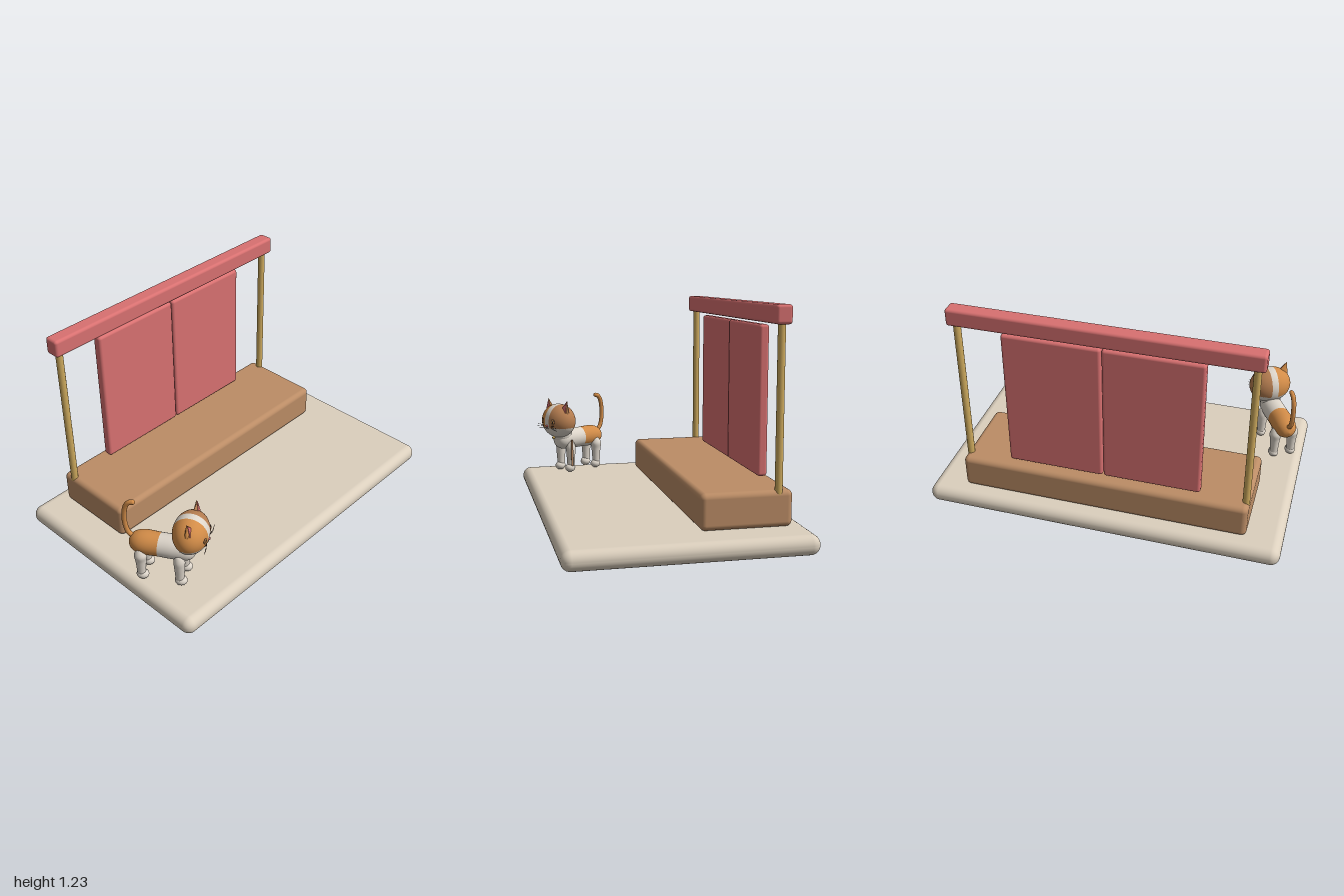
import * as THREE from 'three';
import { RoundedBoxGeometry } from 'three/addons/geometries/RoundedBoxGeometry.js';

const mat = (name, color, side = THREE.FrontSide) => {
  const m = new THREE.MeshStandardMaterial({ color, side });
  m.name = name;
  return m;
};
const stone = mat('stone', 0xdcd0be);
const wood = mat('wood', 0xbc8d66);
const red = mat('red', 0xd97171);
const gold = mat('gold', 0xcfab5e);
const white = mat('white fur', 0xddd5ca);
const orange = mat('orange fur', 0xd28c48);
const brown = mat('brown fur', 0xb57d50);
const amber = mat('amber', 0xc48a4a);
const dark = mat('dark', 0x3a2a24);

function add(parent, name, geo, material, x = 0, y = 0, z = 0) {
  const m = new THREE.Mesh(geo, material);
  m.name = name;
  m.position.set(x, y, z);
  parent.add(m);
  return m;
}

const ellipsoid = (a, b, c, seg = 24) =>
  new THREE.SphereGeometry(1, seg, Math.ceil(seg * 0.67)).scale(a, b, c);

// box given by its minimum and maximum corners
function slab(parent, name, material, min, max, r) {
  const s = max.map((v, i) => v - min[i]);
  const c = max.map((v, i) => (v + min[i]) / 2);
  return add(parent, name, new RoundedBoxGeometry(...s, 4, r), material, ...c);
}

const tube = (pts, r, seg = 24, sides = 10) => new THREE.TubeGeometry(
  new THREE.CatmullRomCurve3(pts.map(p => new THREE.Vector3(...p))), seg, r, sides);

// smooth turned shape from a few [radius, height] points
function turned(pts, seg = 32, steps = 40) {
  const curve = new THREE.SplineCurve(pts.map(p => new THREE.Vector2(...p)));
  const prof = curve.getPoints(steps).map(p => new THREE.Vector2(Math.max(p.x, 0), p.y));
  return new THREE.LatheGeometry(prof, seg);
}

// sort faces into material groups by the position of their centre
function paint(geo, count, pick) {
  const idx = geo.index.array, p = geo.attributes.position;
  const sets = Array.from({ length: count }, () => []);
  for (let i = 0; i < idx.length; i += 3) {
    const f = [idx[i], idx[i + 1], idx[i + 2]];
    const mean = get => f.reduce((s, k) => s + get(k), 0) / 3;
    sets[pick(mean(k => p.getX(k)), mean(k => p.getY(k)), mean(k => p.getZ(k)))].push(...f);
  }
  geo.setIndex(sets.flat());
  let start = 0;
  sets.forEach((s, i) => { geo.addGroup(start, s.length, i); start += s.length; });
  return geo;
}

// half sizes of the head
const HX = 0.124, HY = 0.108, HZ = 0.096, HEAD_Y = 0.443;
const faceZ = (x, y) => HZ * Math.sqrt(Math.max(0, 1 - (x / HX) ** 2 - (y / HY) ** 2));

function makeHead() {
  const head = new THREE.Group();
  head.name = 'head';
  head.position.y = HEAD_Y;

  // skull: white stripe and jaw, one patch on each side
  const skull = new THREE.SphereGeometry(1, 80, 60).rotateZ(Math.PI / 2).scale(HX, HY, HZ);
  paint(skull, 3, (x, y) => (y < -0.038 || Math.abs(x) < 0.02 ? 0 : x < 0 ? 1 : 2));
  add(head, 'skull', skull, [white, orange, brown]);

  for (const s of [-1, 1]) {
    // ear: flattened cone with a thin inner face
    const ear = new THREE.Group();
    ear.name = s > 0 ? 'leftEar' : 'rightEar';
    ear.position.set(s * 0.086, 0.098, 0.005);
    ear.rotation.z = -s * 0.28;
    head.add(ear);
    add(ear, 'earShell', new THREE.ConeGeometry(0.036, 0.08, 20).scale(1, 1, 0.45), s > 0 ? brown : orange);
    const tri = new THREE.Shape([[-0.026, -0.036], [0.026, -0.036], [0, 0.032]].map(p => new THREE.Vector2(...p)));
    const inner = add(ear, 'innerEar',
      new THREE.ExtrudeGeometry(tri, { depth: 0.003, bevelEnabled: false }), red, 0, 0, 0.0095);
    inner.rotation.x = -0.2;

    // eye: iris and pupil plates lying on the face
    const ex = s * 0.052, ey = 0.004, ez = faceZ(ex, ey);
    const eye = new THREE.Group();
    eye.name = s > 0 ? 'leftEye' : 'rightEye';
    eye.position.set(ex, ey, ez);
    eye.rotation.y = Math.atan2(ex / HX ** 2, ez / HZ ** 2);
    head.add(eye);
    add(eye, 'eyeRim', ellipsoid(0.0135, 0.0185, 0.003), dark);
    add(eye, 'iris', ellipsoid(0.0115, 0.0165, 0.0042), amber);
    add(eye, 'pupil', ellipsoid(0.005, 0.011, 0.0055), dark, 0, -0.001);
    add(eye, 'glint', ellipsoid(0.0022, 0.0025, 0.0015, 10), white, 0.002, 0.006, 0.0045);

    // mouth curve and whiskers
    const mouth = [0, 0.009, 0.019].map((x, i) => {
      const y = [-0.032, -0.043, -0.037][i];
      return [s * x, y, faceZ(x, y) + 0.001];
    });
    add(head, 'mouth', tube(mouth, 0.0014, 10, 6), dark);
    for (let i = 0; i < 3; i++) {
      const y = -0.022 - i * 0.008, z = faceZ(0.04, y);
      add(head, 'whisker', tube([[s * 0.035, y, z], [s * 0.065, y + 0.003 - i * 0.003, z + 0.009],
        [s * 0.098, y + 0.006 - i * 0.008, z + 0.008]], 0.001, 8, 5), dark);
    }
  }
  add(head, 'nose', ellipsoid(0.01, 0.0065, 0.006), red, 0, -0.025, faceZ(0, -0.025) + 0.001);
  return head;
}

function makeCat() {
  const cat = new THREE.Group();
  cat.name = 'cat';
  cat.position.set(-0.755, 0, 0.43);
  cat.rotation.y = Math.PI / 6;
  cat.add(makeHead());

  // body with an orange saddle over the rump
  const body = turned([[0, -0.34], [0.035, -0.326], [0.057, -0.295], [0.066, -0.25], [0.064, -0.17],
    [0.065, -0.09], [0.06, -0.02], [0.038, 0.015], [0, 0.025]], 48, 60).rotateX(Math.PI / 2);
  paint(body, 2, (x, y, z) => (z < -0.172 && y > -0.04 ? 1 : 0));
  add(cat, 'body', body, [white, orange], 0, 0.319);
  add(cat, 'neck', ellipsoid(0.062, 0.06, 0.062), white, 0, 0.35, -0.028);
  add(cat, 'bell', ellipsoid(0.01, 0.01, 0.01, 14), gold, 0, 0.337, 0.042);

  // legs and paws
  for (const z of [-0.054, -0.263]) {
    for (const s of [-1, 1]) {
      const rear = z < -0.2;
      const leg = new THREE.Group();
      leg.name = (rear ? 'rear' : 'front') + (s > 0 ? 'LeftLeg' : 'RightLeg');
      leg.position.set(s * 0.052, 0, z);
      cat.add(leg);
      add(leg, 'shin', turned([[0.023, 0.135], [0.025, 0.18], [0.029, 0.235],
        [rear ? 0.034 : 0.03, 0.275], [0.018, 0.306], [0, 0.314]], 24), white);
      add(leg, 'paw', ellipsoid(0.029, 0.027, 0.034), white, 0, 0.138, 0.006);
    }
  }

  // tail curling forward at the tip
  const tail = [[0, 0.345, -0.31], [0, 0.37, -0.338], [0, 0.42, -0.353], [0, 0.49, -0.355],
    [0, 0.55, -0.343], [0, 0.575, -0.325], [0, 0.582, -0.304]];
  add(cat, 'tail', tube(tail, 0.0135, 40, 14), orange);
  add(cat, 'tailTip', ellipsoid(0.0135, 0.0135, 0.0135, 14), orange, ...tail[tail.length - 1]);

  // thin upright stick beside the front leg
  const stick = add(cat, 'stick', new THREE.BoxGeometry(0.012, 0.165, 0.012), wood, 0.094, 0.24, -0.0325);
  stick.rotation.y = -Math.PI / 6;
  return cat;
}

export function createModel() {
  const model = new THREE.Group();
  model.name = 'catStage';

  slab(model, 'base', stone, [-1, 0, -0.645], [1, 0.105, 0.645], 0.05);
  slab(model, 'platform', wood, [-0.805, 0.105, -0.56], [0.805, 0.297, -0.075], 0.03);
  slab(model, 'topBeam', red, [-0.828, 1.13, -0.53], [0.828, 1.228, -0.444], 0.016);

  // posts and curtain panels on both sides
  for (const s of [-1, 1]) {
    add(model, 'post', new THREE.CylinderGeometry(0.02, 0.02, 0.87, 24), gold, s * 0.784, 0.71, -0.487);
    const x = [s * 0.002, s * 0.538].sort((a, b) => a - b);
    slab(model, 'curtain', red, [x[0], 0.312, -0.514], [x[1], 1.115, -0.46], 0.016);
  }

  model.add(makeCat());
  return model;
}
